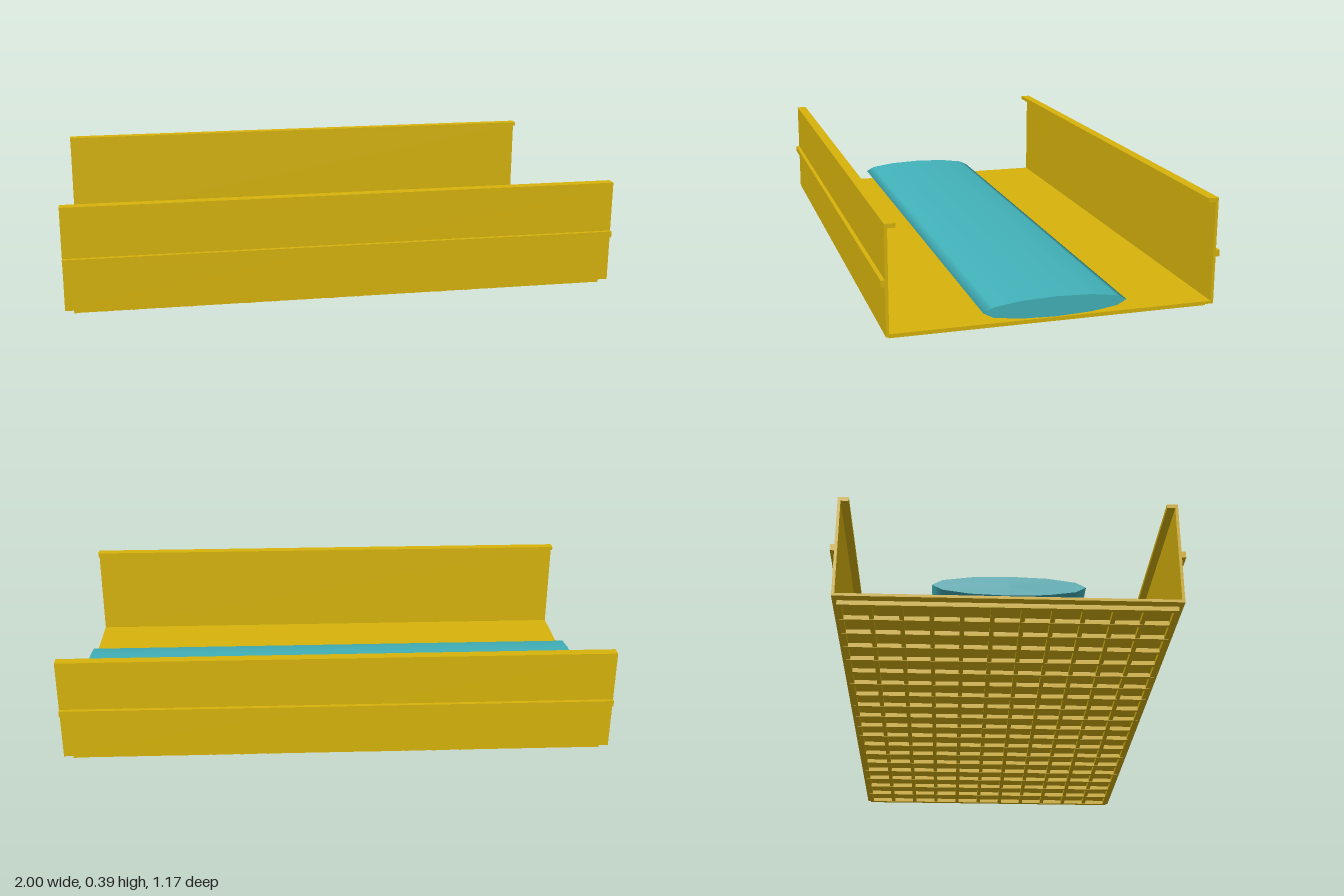
import * as THREE from 'three';

const LENGTH = 2;
const yellow = new THREE.MeshStandardMaterial({ color: 0xd8b40c });
const teal = new THREE.MeshStandardMaterial({ color: 0x43b3bb });

// Box given by its extents along y and z, and centred at x
function bar(name, width, y0, y1, z0, z1, x = 0) {
  const mesh = new THREE.Mesh(new THREE.BoxGeometry(width, y1 - y0, Math.abs(z1 - z0)), yellow);
  mesh.name = name;
  mesh.position.set(x, (y0 + y1) / 2, (z0 + z1) / 2);
  return mesh;
}

export function createModel() {
  const model = new THREE.Group();
  model.name = 'channelTray';

  // Floor plate
  model.add(bar('floor', LENGTH, 0.016, 0.026, -0.57, 0.57));

  // Side walls with an inward top lip and an outer rail
  for (const s of [-1, 1]) {
    const side = new THREE.Group();
    side.name = s > 0 ? 'frontSide' : 'backSide';
    side.add(
      bar('wall', LENGTH, 0.026, 0.376, s * 0.56, s * 0.57),
      bar('topLip', LENGTH, 0.376, 0.391, s * 0.533, s * 0.57),
      bar('outerRail', LENGTH, 0.184, 0.207, s * 0.57, s * 0.584)
    );
    model.add(side);
  }

  // Grid of stiffening ribs under the floor
  const ribs = new THREE.Group();
  ribs.name = 'undersideRibs';
  const w = 0.015, endX = 0.97, endZ = 0.555, nx = 20, nz = 12;
  for (let i = 0; i < nx; i++) {
    const x = (endX - w / 2) * (2 * i / (nx - 1) - 1);
    ribs.add(bar('crossRib', w, 0, 0.016, -endZ, endZ, x));
  }
  for (let i = 0; i < nz; i++) {
    const z = (endZ - w / 2) * (2 * i / (nz - 1) - 1);
    ribs.add(bar('longRib', endX * 2, 0.001, 0.016, z - w / 2, z + w / 2));
  }
  model.add(ribs);

  // Flattened twelve-sided cushion lying along the tray
  const geometry = new THREE.CylinderGeometry(1, 1, LENGTH, 12);
  geometry.rotateZ(Math.PI / 2);
  geometry.scale(1, 0.035, 0.249);
  const cushion = new THREE.Mesh(geometry, teal);
  cushion.name = 'cushion';
  cushion.position.y = 0.063;
  model.add(cushion);

  return model;
}
